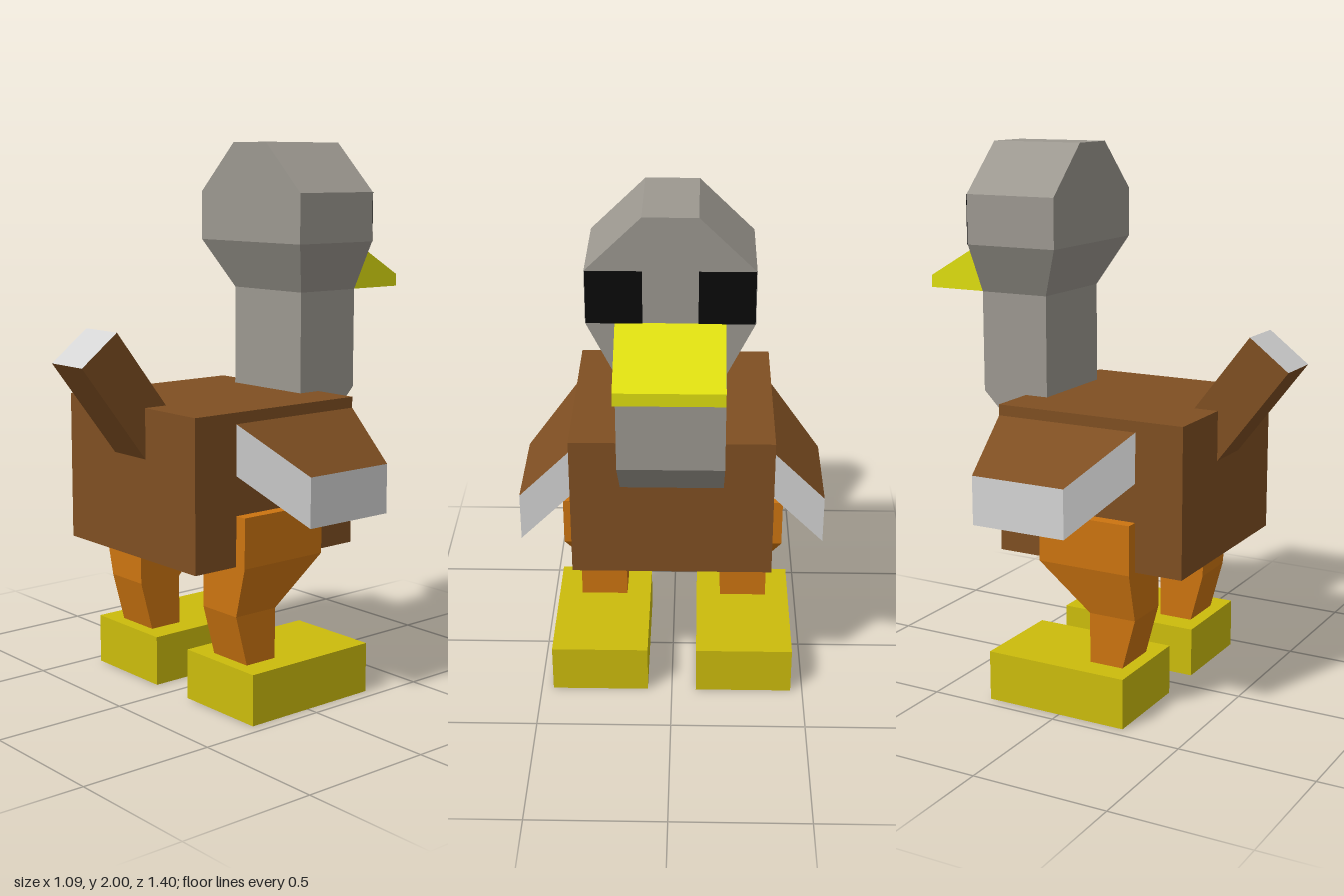
import * as THREE from 'three';

const paint = (name, color) => {
  const m = new THREE.MeshStandardMaterial({ color });
  m.name = name;
  return m;
};

export function createModel() {
  const brown = paint('brown plumage', 0x7f4f22);
  const grey = paint('grey plumage', 0x9c9890);
  const pale = paint('pale feather edge', 0xd4d4d4);
  const orange = paint('orange leg', 0xcc7410);
  const footYellow = paint('foot yellow', 0xccbc0c);
  const beakYellow = paint('beak yellow', 0xdede10);
  const black = paint('eye black', 0x0a0a0a);

  const model = new THREE.Group();
  model.name = 'bird';

  const add = (parent, name, geometry, material) => {
    const mesh = new THREE.Mesh(geometry, material);
    mesh.name = name;
    parent.add(mesh);
    return mesh;
  };

  // Unit box whose corners are moved by rule(u, v, w), each 0..1 along x, y, z
  const warpedBox = (rule) => {
    const g = new THREE.BoxGeometry(1, 1, 1);
    const p = g.attributes.position;
    for (let i = 0; i < p.count; i++) {
      p.setXYZ(i, ...rule(p.getX(i) + 0.5, p.getY(i) + 0.5, p.getZ(i) + 0.5));
    }
    g.computeVertexNormals();
    return g;
  };
  const lerp = THREE.MathUtils.lerp;

  // Tapered block between two rectangles [x0, x1, z0, z1]
  const block = (y0, y1, low, high = low) => warpedBox((u, v, w) => {
    const [x0, x1, z0, z1] = low.map((a, i) => lerp(a, high[i], v));
    return [lerp(x0, x1, u), lerp(y0, y1, v), lerp(z0, z1, w)];
  });
  // Rectangle mirrored to the chosen side
  const onSide = (s, [a, b, z0, z1]) => (s > 0 ? [a, b, z0, z1] : [-b, -a, z0, z1]);

  // Body
  add(model, 'body', block(0.55, 1.09, [-0.365, 0.365, -0.29, 0.44]), brown);

  // Neck, with a slanted breast running into the body
  const neckTop = [-0.185, 0.185, -0.47, -0.2];
  add(model, 'neck', block(1.09, 1.46, neckTop), grey);
  add(model, 'breast', block(0.91, 1.09, [-0.185, 0.185, -0.29, -0.2], neckTop), grey);

  // Head
  const head = new THREE.Group();
  head.name = 'head';
  model.add(head);
  const wide = [-0.275, 0.275, -0.47, -0.11];
  add(head, 'jaw', block(1.46, 1.64, neckTop, wide), grey);
  add(head, 'face', block(1.64, 1.82, wide), grey);
  add(head, 'crown', block(1.82, 2, wide, [-0.09, 0.09, -0.47, -0.11]), grey);

  // Beak, sloping down to a blunt tip
  add(head, 'beak', warpedBox((u, v, w) => [
    lerp(-0.18, 0.18, u),
    1.46 + v * lerp(0.045, 0.18, w),
    lerp(-0.7, -0.47, w),
  ]), beakYellow);

  // Tail, with a pale end
  const tail = add(model, 'tail', new THREE.BoxGeometry(0.18, 0.5, 0.182),
    [brown, brown, pale, brown, brown, brown]);
  tail.position.set(0, 1.106, 0.476);
  tail.rotation.x = 0.653;

  for (const s of [1, -1]) {
    const side = s > 0 ? 'left' : 'right';

    // Eye plate
    add(head, side + 'Eye', block(1.64, 1.82, onSide(s, [0.09, 0.273, -0.474, -0.468])), black);

    // Wing: slab drooping outward, narrower at the outer edge
    add(model, side + 'Wing', warpedBox((u, v, w) => {
      const out = s > 0 ? u : 1 - u;
      return [
        s * (0.365 + 0.18 * out),
        0.87 + 0.18 * (v - out),
        lerp(-0.29, 0.26 - 0.18 * out, w),
      ];
    }), [pale, pale, brown, brown, pale, pale]);

    // Leg
    const leg = new THREE.Group();
    leg.name = side + 'Leg';
    model.add(leg);
    const thigh = onSide(s, [0.185, 0.41, -0.1, 0.26]);
    const knee = onSide(s, [0.185, 0.365, 0.08, 0.26]);
    const ankle = onSide(s, [0.185, 0.365, 0.08, 0.175]);
    add(leg, 'thigh', block(0.55, 0.73, thigh), orange);
    add(leg, 'knee', block(0.37, 0.55, knee, thigh), orange);
    add(leg, 'shin', block(0.05, 0.37, ankle, knee), orange);
    add(leg, 'foot', block(0, 0.185, onSide(s, [0.092, 0.455, -0.29, 0.26])), footYellow);
  }

  return model;
}
